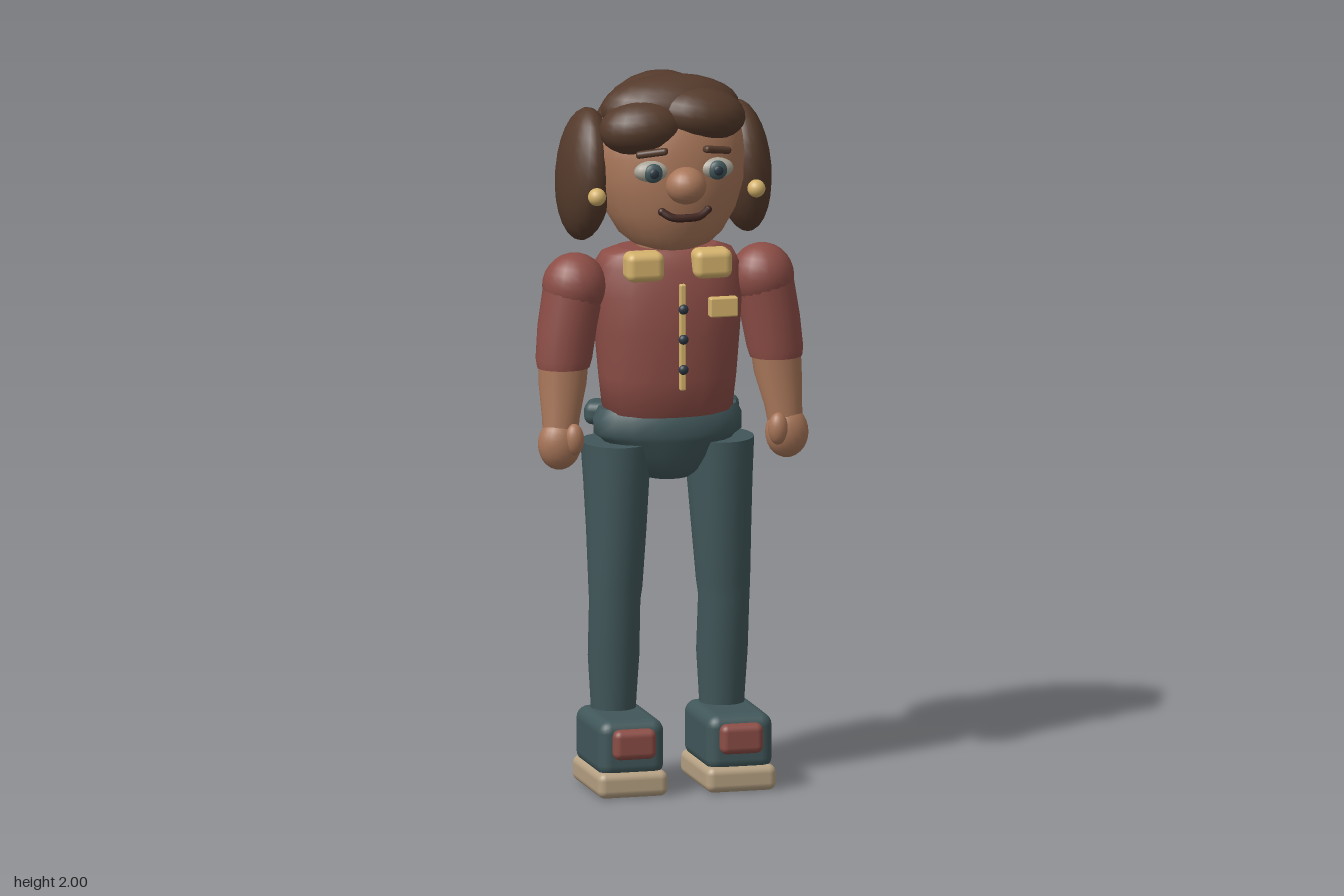
import * as THREE from 'three';
import { RoundedBoxGeometry } from 'three/addons/geometries/RoundedBoxGeometry.js';

const paint = (name, color) => {
  const m = new THREE.MeshStandardMaterial({ color });
  m.name = name;
  return m;
};

// Closed tube through horizontal oval sections, listed upward: [x, y, z, rx, rz]; k > 1 squares the ovals
function loft(rows, k = 1, n = 20) {
  const pos = [], idx = [];
  const bend = (v) => Math.sign(v) * Math.abs(v) ** (1 / k);
  const ring = ([x, y, z, rx, rz]) => {
    for (let i = 0; i < n; i++) {
      const a = (i / n) * Math.PI * 2;
      pos.push(x + rx * bend(Math.cos(a)), y, z + rz * bend(Math.sin(a)));
    }
  };
  rows.forEach(ring);
  for (let j = 0; j < rows.length - 1; j++) {
    for (let i = 0; i < n; i++) {
      const a = j * n + i, b = j * n + ((i + 1) % n);
      idx.push(a, a + n, b, b, a + n, b + n);
    }
  }
  // End caps with their own vertices so the rims stay sharp
  [rows[0], rows[rows.length - 1]].forEach((row, top) => {
    const s = pos.length / 3;
    ring(row);
    pos.push(row[0], row[1], row[2]);
    for (let i = 0; i < n; i++) {
      const a = s + i, b = s + ((i + 1) % n);
      if (top) idx.push(s + n, b, a);
      else idx.push(s + n, a, b);
    }
  });
  const g = new THREE.BufferGeometry();
  g.setAttribute('position', new THREE.Float32BufferAttribute(pos, 3));
  g.setIndex(idx);
  g.computeVertexNormals();
  return g;
}

export function createModel() {
  const skin = paint('skin', 0xa87659);
  const hair = paint('hair brown', 0x543a2b);
  const red = paint('shirt red', 0x8c4d46);
  const teal = paint('trouser teal', 0x41575a);
  const gold = paint('gold trim', 0xd4b26c);
  const tan = paint('sole tan', 0xb6a183);
  const white = paint('eye grey', 0xaaa598);
  const dark = paint('button navy', 0x2b3641);
  const lip = paint('lip brown', 0x40251f);

  const model = new THREE.Group();
  model.name = 'figure';
  const add = (name, geo, mat, x = 0, y = 0, z = 0) => {
    const m = new THREE.Mesh(geo, mat);
    m.name = name;
    m.position.set(x, y, z);
    model.add(m);
    return m;
  };
  const ball = (name, mat, x, y, z, rx, ry = rx, rz = rx) => {
    const m = add(name, new THREE.SphereGeometry(1, 20, 14), mat, x, y, z);
    m.scale.set(rx, ry, rz);
    return m;
  };
  const box = (name, mat, x, y, z, w, h, d, r) =>
    add(name, new RoundedBoxGeometry(w, h, d, 3, r), mat, x, y, z);

  // Shirt body, hips and neck
  add('shirt', loft([
    [0, 1.025, -0.015, 0.12, 0.085], [0, 1.05, -0.015, 0.182, 0.125], [0, 1.15, -0.015, 0.193, 0.135],
    [0, 1.28, -0.018, 0.204, 0.142], [0, 1.38, -0.025, 0.212, 0.142], [0, 1.46, -0.025, 0.205, 0.12],
    [0, 1.495, -0.02, 0.185, 0.1], [0, 1.51, -0.018, 0.14, 0.082],
  ], 1.15), red);
  add('hips', loft([
    [0, 0.86, -0.01, 0.06, 0.055], [0, 0.885, -0.01, 0.1, 0.08], [0, 0.93, -0.01, 0.15, 0.1],
    [0, 0.975, -0.012, 0.19, 0.115], [0, 0.99, -0.012, 0.212, 0.12], [0, 1.03, -0.014, 0.212, 0.12],
    [0, 1.06, -0.015, 0.197, 0.105],
  ]), teal);
  add('neck', loft([[0, 1.44, -0.02, 0.085, 0.08], [0, 1.6, -0.02, 0.085, 0.08]]), skin);

  // Shirt front details
  box('placket', gold, 0, 1.28, 0.148, 0.018, 0.3, 0.018, 0.005);
  for (const y of [1.36, 1.275, 1.19]) ball('button', dark, 0, y, 0.158, 0.014, 0.014, 0.011);
  box('chestPocket', gold, 0.12, 1.357, 0.133, 0.08, 0.055, 0.03, 0.005);

  // Head and centred features
  add('head', loft([
    [0, 1.517, 0.03, 0.07, 0.075], [0, 1.53, 0.025, 0.11, 0.108], [0, 1.56, 0.015, 0.147, 0.14],
    [0, 1.62, 0.01, 0.183, 0.165], [0, 1.7, 0.01, 0.207, 0.175], [0, 1.78, 0.005, 0.213, 0.173],
    [0, 1.85, 0, 0.202, 0.165], [0, 1.91, -0.005, 0.165, 0.135], [0, 1.95, -0.01, 0.09, 0.08],
  ], 1, 24), skin);
  ball('nose', skin, 0, 1.715, 0.183, 0.057, 0.052, 0.057);
  const smile = new THREE.CatmullRomCurve3([
    [-0.066, 1.642, 0.172], [-0.04, 1.627, 0.184], [0, 1.624, 0.188], [0.04, 1.627, 0.184], [0.066, 1.642, 0.172],
  ].map((p) => new THREE.Vector3(...p)));
  add('mouth', new THREE.TubeGeometry(smile, 16, 0.011, 8), lip);
  for (const s of [-1, 1]) ball('mouthCorner', lip, s * 0.066, 1.642, 0.172, 0.011);

  // Hair: back volume, crown and two fringe lobes
  ball('backHair', hair, 0, 1.77, -0.095, 0.2, 0.215, 0.148);
  ball('crownHair', hair, -0.005, 1.905, 0.035, 0.198, 0.095, 0.11);
  ball('fringeRight', hair, -0.1, 1.868, 0.09, 0.122, 0.078, 0.092).rotation.z = 0.12;
  ball('fringeLeft', hair, 0.065, 1.895, 0.09, 0.13, 0.076, 0.092).rotation.z = -0.12;

  for (const s of [-1, 1]) {
    // Side hair, earring, eye and brow
    const lobe = ball('sideHair', hair, s * 0.226, 1.713, -0.057, 0.076, 0.186, 0.132);
    lobe.rotation.z = s * 0.08;
    ball('earring', gold, s * 0.228, 1.675, 0.085, 0.025);
    ball('eye', white, s * 0.092, 1.755, 0.16, 0.05, 0.03, 0.028);
    ball('iris', teal, s * 0.092, 1.753, 0.179, 0.027, 0.027, 0.014);
    ball('pupil', dark, s * 0.092, 1.753, 0.189, 0.014, 0.014, 0.007);
    const brow = box('eyebrow', hair, s * 0.093, 1.808, 0.168, 0.09, 0.02, 0.026, 0.009);
    brow.rotation.set(0, s * 0.4, -s * 0.16);

    // Collar tab and hip pocket
    box('collar', gold, s * 0.097, 1.475, 0.093, 0.108, 0.082, 0.075, 0.022);
    const pocket = box('hipPocket', teal, s * 0.165, 1.033, -0.085, 0.1, 0.065, 0.09, 0.025);
    pocket.rotation.y = s * 0.4;

    // Arm
    ball('shoulder', red, s * 0.268, 1.41, -0.005, 0.09, 0.092, 0.085);
    add('sleeve', loft([
      [s * 0.304, 1.185, 0.01, 0.073, 0.066], [s * 0.302, 1.21, 0.008, 0.079, 0.07],
      [s * 0.29, 1.3, 0, 0.083, 0.077], [s * 0.268, 1.42, -0.005, 0.086, 0.08],
    ]), red);
    add('forearm', loft([
      [s * 0.323, 0.99, 0.045, 0.048, 0.04], [s * 0.318, 1.05, 0.036, 0.053, 0.046],
      [s * 0.308, 1.14, 0.016, 0.067, 0.057], [s * 0.304, 1.2, 0.01, 0.07, 0.062],
    ]), skin);
    ball('hand', skin, s * 0.325, 0.977, 0.048, 0.061, 0.072, 0.049);
    ball('thumb', skin, s * 0.292, 0.993, 0.079, 0.028, 0.045, 0.027);

    // Leg
    add('trouserLeg', loft([
      [s * 0.155, 0.17, -0.012, 0.06, 0.06], [s * 0.155, 0.25, -0.012, 0.064, 0.067],
      [s * 0.155, 0.36, -0.01, 0.071, 0.074], [s * 0.156, 0.52, 0.006, 0.071, 0.071],
      [s * 0.154, 0.56, 0.006, 0.075, 0.073], [s * 0.15, 0.72, 0, 0.083, 0.09],
      [s * 0.148, 0.85, -0.008, 0.09, 0.102], [s * 0.147, 0.965, -0.015, 0.097, 0.113],
    ]), teal);

    // Shoe
    box('shoeUpper', teal, s * 0.155, 0.135, 0.057, 0.188, 0.16, 0.283, 0.035);
    box('sole', tan, s * 0.155, 0.036, 0.06, 0.2, 0.072, 0.3, 0.022);
    box('toePatch', red, s * 0.153, 0.151, 0.2, 0.122, 0.084, 0.05, 0.02);
  }
  return model;
}
